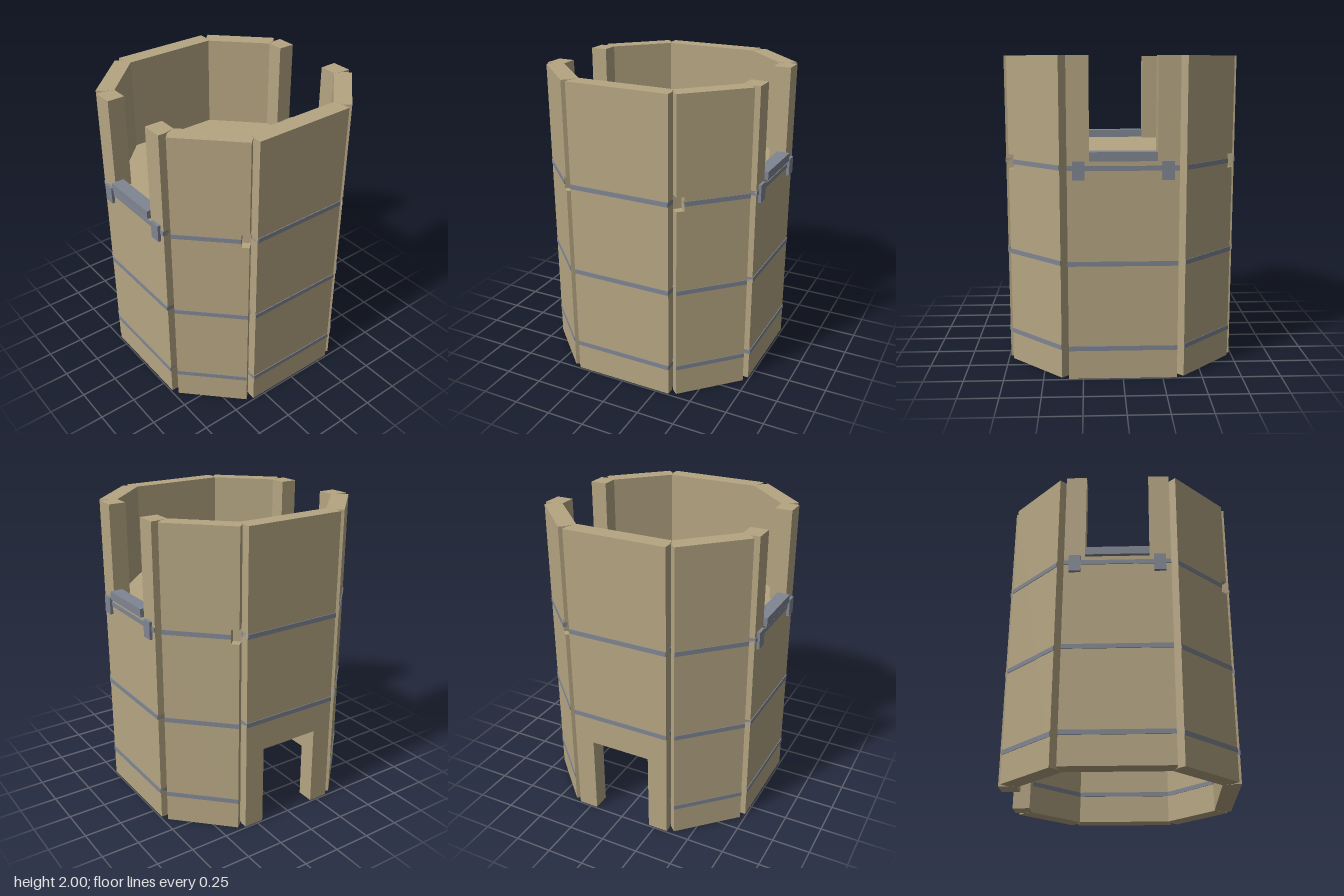
import * as THREE from 'three';

const wood = new THREE.MeshStandardMaterial({ color: 0xb5a582, flatShading: true });
const iron = new THREE.MeshStandardMaterial({ color: 0x7f8592, flatShading: true });

// Prism over a plan outline of [x, z] points, from height y0 to y1
function slab(name, plan, y0, y1, material = wood) {
  const shape = new THREE.Shape(plan.map(([x, z]) => new THREE.Vector2(x, -z)));
  const geo = new THREE.ExtrudeGeometry(shape, { depth: y1 - y0, bevelEnabled: false });
  geo.rotateX(-Math.PI / 2);
  geo.translate(0, y0, 0);
  const mesh = new THREE.Mesh(geo, material);
  mesh.name = name;
  return mesh;
}

// Box given by its limits on each axis
function block(name, x0, x1, y0, y1, z0, z1, material = iron) {
  const mesh = new THREE.Mesh(new THREE.BoxGeometry(x1 - x0, y1 - y0, z1 - z0), material);
  mesh.position.set((x0 + x1) / 2, (y0 + y1) / 2, (z0 + z1) / 2);
  mesh.name = name;
  return mesh;
}

const H = 2, FLOOR = 1.38, DOOR = 0.54, GAP = 0.205, NOTCH = 1.29;
const BANDS = [0.2, 0.745, 1.335];

// Wide wall, built facing +z: optional window gap at the top or doorway at the bottom
function wideWall(kind) {
  const g = new THREE.Group();
  const full = [[-0.34, 0.74], [-0.34, 0.69], [-0.32, 0.625], [0.32, 0.625], [0.34, 0.69], [0.34, 0.74]];
  const y0 = kind === 'door' ? DOOR : 0;
  const y1 = kind === 'window' ? FLOOR : H;
  g.add(slab('wallPanel', full, y0, y1));
  for (const s of [-1, 1]) {
    const jamb = [[GAP, 0.74], [GAP, 0.625], [0.32, 0.625], [0.34, 0.69], [0.34, 0.74]].map(([x, z]) => [s * x, z]);
    if (kind === 'door') g.add(slab('doorJamb', jamb, 0, DOOR));
    if (kind === 'window') {
      g.add(slab('windowJamb', jamb, FLOOR, H));
      g.add(block('clip', s * 0.27 - 0.0375, s * 0.27 + 0.0375, 1.265, FLOOR, 0.73, 0.76));
    }
  }
  if (kind === 'window') g.add(block('windowSill', -GAP, GAP, FLOOR, 1.435, 0.68, 0.765));
  for (const y of BANDS) {
    if (y > y0) g.add(block('band', -0.34, 0.34, y - 0.015, y + 0.015, 0.62, 0.745));
  }
  return g;
}

// Narrow corner wall, built facing +z: notch is the side (-1, 1) with a cut at its edge, or 0
function cornerWall(notch) {
  const g = new THREE.Group();
  const right = [[0.216, 0.668], [0.24, 0.728], [0.237, 0.781]];
  const left = right.map(([x, z]) => [-x, z]).reverse();
  const cut = [[0.216, 0.668], [0.24, 0.728], [0.187, 0.728], [0.187, 0.781]];
  const plan = [...left, ...right];
  if (notch) {
    const middle = [...left, ...cut].map(([x, z]) => [notch * x, z]);
    g.add(slab('wallPanelLower', plan, 0, NOTCH));
    g.add(slab('wallPanelNotched', middle, NOTCH, FLOOR));
    g.add(slab('wallPanelUpper', plan, FLOOR, H));
  } else {
    g.add(slab('wallPanel', plan, 0, H));
  }
  for (const y of BANDS) {
    const cutHere = y > NOTCH;
    const x0 = cutHere && notch < 0 ? -0.187 : -0.237;
    const x1 = cutHere && notch > 0 ? 0.187 : 0.237;
    g.add(block('band', x0, x1, y - 0.015, y + 0.015, 0.664, 0.785));
  }
  return g;
}

export function createModel() {
  const tower = new THREE.Group();
  tower.name = 'tower';

  // Eight walls, wide and narrow in turn
  const kinds = { 0: 'window', 2: 'plain', 4: 'window', 6: 'door' };
  const notches = { 1: 1, 3: -1, 5: 1, 7: 0 };
  for (let i = 0; i < 8; i++) {
    const wall = i % 2 ? cornerWall(notches[i]) : wideWall(kinds[i]);
    wall.name = i % 2 ? 'cornerWall' : kinds[i] + 'Wall';
    wall.rotation.y = i * Math.PI / 4;
    tower.add(wall);
  }

  // Upper floor
  const a = 0.625, b = 0.32;
  tower.add(slab('upperFloor', [[a, b], [b, a], [-b, a], [-a, b], [-a, -b], [-b, -a], [b, -a], [a, -b]], 1.3, FLOOR));
  return tower;
}
